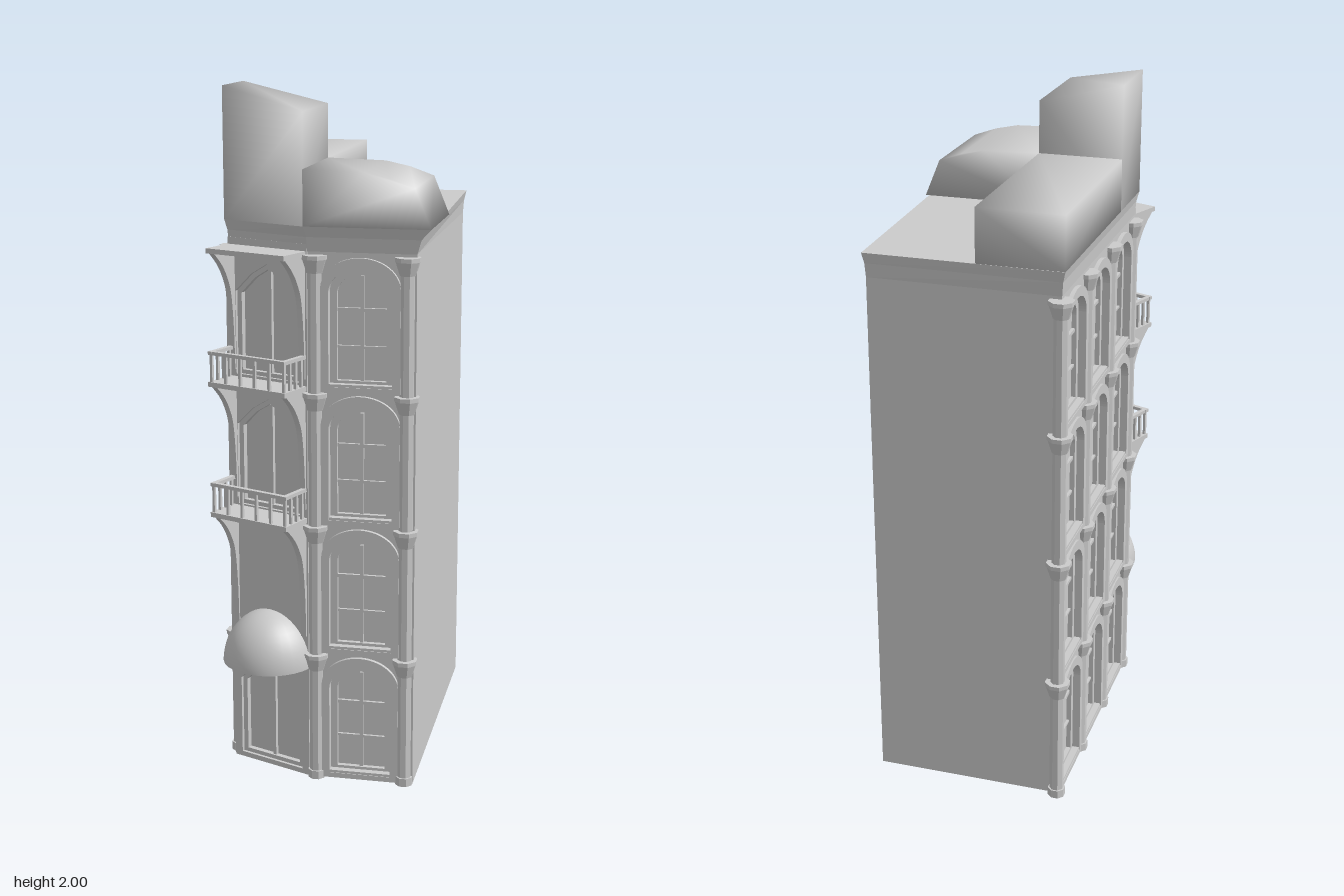
import * as THREE from 'three';
import { mergeVertices } from 'three/addons/utils/BufferGeometryUtils.js';

const flat = new THREE.MeshStandardMaterial({ color: 0xcccccc, flatShading: true, side: THREE.DoubleSide });
const smooth = new THREE.MeshStandardMaterial({ color: 0xcccccc, side: THREE.DoubleSide });
const FLOOR = 0.388, INSET = 0.025;

function add(parent, name, geometry, material = flat) {
  const mesh = new THREE.Mesh(geometry, material);
  mesh.name = name;
  parent.add(mesh);
  return mesh;
}

function box(parent, name, w, h, d, x, y, z) {
  const mesh = add(parent, name, new THREE.BoxGeometry(w, h, d));
  mesh.position.set(x, y, z);
  return mesh;
}

function extrude(shape, depth, z = 0) {
  return new THREE.ExtrudeGeometry(shape, { depth, bevelEnabled: false, curveSegments: 14 }).translate(0, 0, z);
}

// Solid through convex floor plans, one per height
function loft(rings) {
  const pos = [];
  const at = (r, i) => { const [x, z] = r.plan[i % r.plan.length]; pos.push(x, r.y, z); };
  const n = rings[0].plan.length;
  for (let k = 0; k < rings.length - 1; k++) {
    const a = rings[k], b = rings[k + 1];
    for (let i = 0; i < n; i++) {
      at(a, i + 1); at(a, i); at(b, i);
      at(a, i + 1); at(b, i); at(b, i + 1);
    }
  }
  const low = rings[0], top = rings[rings.length - 1];
  for (let i = 1; i < n - 1; i++) {
    at(top, 0); at(top, i + 1); at(top, i);
    at(low, 0); at(low, i); at(low, i + 1);
  }
  const g = new THREE.BufferGeometry();
  g.setAttribute('position', new THREE.Float32BufferAttribute(pos, 3));
  g.computeVertexNormals();
  return g;
}

const polygon = (pts) => new THREE.Shape(pts.map(([x, y]) => new THREE.Vector2(x, y)));

// Round-headed opening
function arch(x, w, y0, spring, rise) {
  const s = new THREE.Shape();
  s.moveTo(x - w / 2, y0);
  s.lineTo(x + w / 2, y0);
  s.lineTo(x + w / 2, spring);
  s.absellipse(x, spring, w / 2, rise, 0, Math.PI, false);
  s.closePath();
  return s;
}

// Opening with a pointed head
const pointed = (w, y0, spring, top) =>
  polygon([[-w / 2, y0], [w / 2, y0], [w / 2, spring], [w / 4, spring + (top - spring) * 0.62],
    [0, top], [-w / 4, spring + (top - spring) * 0.62], [-w / 2, spring]]);

function ring(outer, inner) {
  outer.holes.push(inner);
  return outer;
}

// Octagonal half-sunk pilaster with a flared capital on every floor
function pilaster(parent, x) {
  const g = new THREE.Group();
  g.name = 'pilaster';
  g.position.x = x;
  parent.add(g);
  const oct = (name, r1, r0, y0, y1) => add(g, name,
    new THREE.CylinderGeometry(r1, r0, y1 - y0, 8).rotateY(Math.PI / 8).translate(0, (y0 + y1) / 2, 0));
  oct('pilasterShaft', 0.021, 0.021, 0, 1.55);
  oct('pilasterBase', 0.026, 0.026, 0, 0.025);
  for (let f = 1; f <= 4; f++) {
    oct('capital', 0.035, 0.023, f * FLOOR - 0.05, f * FLOOR - 0.012);
    oct('capitalTop', 0.037, 0.037, f * FLOOR - 0.012, f * FLOOR);
  }
}

// Wall with arched windows; local z points outward
function windowFacade(x0, x1, bays, pilasters) {
  const g = new THREE.Group();
  const wall = polygon([[x0, 0], [x1, 0], [x1, 1.58], [x0, 1.58]]);
  for (const x of bays) for (let f = 0; f < 4; f++) {
    const y = f * FLOOR;
    wall.holes.push(arch(x, 0.18, y + 0.02, y + 0.285, 0.07));
    add(g, 'archMoulding', extrude(ring(arch(x, 0.225, y + 0.005, y + 0.295, 0.088),
      arch(x, 0.18, y + 0.02, y + 0.285, 0.07)), 0.012));
    add(g, 'windowFrame', extrude(ring(arch(x, 0.18, y + 0.02, y + 0.285, 0.07),
      arch(x, 0.14, y + 0.035, y + 0.28, 0.055)), 0.014, -INSET));
    box(g, 'mullion', 0.01, 0.3, 0.01, x, y + 0.18, -INSET + 0.004);
    box(g, 'transom', 0.14, 0.01, 0.01, x, y + 0.235, -INSET + 0.004);
    box(g, 'glazingBar', 0.14, 0.007, 0.008, x, y + 0.13, -INSET + 0.004);
    box(g, 'windowSill', 0.19, 0.015, 0.02, x, y + 0.02, 0);
  }
  add(g, 'facadeWall', extrude(wall, INSET, -INSET));
  for (const x of pilasters) pilaster(g, x);
  return g;
}

// Slab carried by two concave fins, with or without a railing
function balcony(parent, y, railing) {
  const g = new THREE.Group();
  g.name = railing ? 'balcony' : 'topCanopy';
  g.position.y = y;
  parent.add(g);
  const W = 0.265, D = 0.105;
  box(g, 'slab', W, 0.014, D, 0, -0.007, D / 2);
  const fin = new THREE.Shape();
  fin.moveTo(0, -0.012);
  fin.lineTo(D - 0.008, -0.012);
  fin.splineThru([[0.06, -0.05], [0.035, -0.09], [0.018, -0.14], [0.008, -0.24], [0.004, -0.36]]
    .map(([a, b]) => new THREE.Vector2(a, b)));
  fin.lineTo(0, -0.36);
  for (const s of [-1, 1])
    add(g, 'bracket', extrude(fin, 0.018, -0.009).rotateY(-Math.PI / 2).translate(s * (W / 2 - 0.012), 0, 0));
  if (!railing) return;
  const X = W / 2 - 0.008, Z = D - 0.008;
  const post = (x, z) => box(g, 'baluster', 0.008, 0.08, 0.008, x, 0.04, z);
  for (let i = 0; i <= 5; i++) post(-X + (2 * X * i) / 5, Z);
  box(g, 'frontRail', W, 0.01, 0.014, 0, 0.083, Z);
  for (const s of [-1, 1]) {
    for (const z of [0.015, 0.042, 0.069]) post(s * X, z);
    box(g, 'sideRail', 0.014, 0.01, D, s * X, 0.083, D / 2);
  }
}

// Cut-off corner with doors, balconies and entrance dome
function cornerFacade() {
  const g = new THREE.Group();
  const W = 0.27;
  const wall = polygon([[-W / 2, 0], [W / 2, 0], [W / 2, 1.58], [-W / 2, 1.58]]);
  for (const y of [0.015, 0.8, 1.188]) {
    wall.holes.push(pointed(0.22, y, y + 0.24, y + 0.325));
    add(g, 'doorFrame', extrude(ring(pointed(0.22, y, y + 0.24, y + 0.325),
      pointed(0.19, y + 0.012, y + 0.235, y + 0.31)), 0.016, -INSET));
    box(g, 'doorDivider', 0.01, 0.305, 0.012, 0, y + 0.155, -INSET + 0.005);
  }
  add(g, 'cornerWall', extrude(wall, INSET, -INSET));
  balcony(g, 0.795, true);
  balcony(g, 1.18, true);
  balcony(g, 1.56, false);
  const dome = add(g, 'entranceDome',
    new THREE.SphereGeometry(0.14, 28, 12, 0, Math.PI * 2, 0, Math.PI / 2), smooth);
  dome.scale.y = 1.09;
  dome.position.y = 0.34;
  const base = add(g, 'domeUnderside', new THREE.CircleGeometry(0.14, 28).rotateX(Math.PI / 2));
  base.position.y = 0.34;
  return g;
}

// Roof block with soft normals; the outer left corner follows the cut-off corner
function roofBlock(parent, name, pts, z0, z1) {
  let geo = extrude(polygon(pts), z1 - z0, z0);
  const p = geo.attributes.position;
  for (let i = 0; i < p.count; i++) if (p.getZ(i) > 0.2 && p.getX(i) < -0.2) p.setZ(i, 0.33);
  geo.deleteAttribute('normal');
  geo.deleteAttribute('uv');
  geo = mergeVertices(geo);
  geo.computeVertexNormals();
  add(parent, name, geo, smooth);
}

export function createModel() {
  const model = new THREE.Group();
  model.name = 'cornerBuilding';

  // Body and cornice
  const core = [[-0.255, -0.49], [0.275, -0.49], [0.275, 0.395], [-0.035, 0.395], [-0.255, 0.307]];
  const plan = [[-0.28, -0.49], [0.275, -0.49], [0.275, 0.42], [-0.03, 0.42], [-0.28, 0.32]];
  const eave = [[-0.29, -0.497], [0.285, -0.495], [0.315, 0.435], [-0.04, 0.435], [-0.29, 0.33]];
  add(model, 'body', loft([{ plan: core, y: 0 }, { plan: core, y: 1.58 }]));
  const mid = plan.map(([x, z], i) => [x + (eave[i][0] - x) * 0.3, z + (eave[i][1] - z) * 0.3]);
  add(model, 'cornice', loft([{ plan, y: 1.56 }, { plan: mid, y: 1.6 }, { plan: eave, y: 1.63 }]));

  // Facades
  const front = windowFacade(-0.03, 0.275, [0.12], [-0.01, 0.25]);
  front.name = 'frontFacade';
  front.position.z = 0.42;
  const side = windowFacade(-0.49, 0.32, [-0.37, -0.11, 0.15], [-0.495, -0.24, 0.02, 0.28]);
  side.name = 'sideFacade';
  side.rotation.y = -Math.PI / 2;
  side.position.x = -0.28;
  const corner = cornerFacade();
  corner.name = 'cornerFacade';
  corner.rotation.y = -Math.atan2(0.1, 0.25);
  corner.position.set(-0.158, 0, 0.372);
  model.add(front, side, corner);

  // Roofs
  roofBlock(model, 'cornerTower', [[-0.29, 1.63], [-0.04, 1.63], [-0.04, 1.94], [-0.29, 2]], 0.1, 0.435);
  roofBlock(model, 'frontRoof', [[-0.04, 1.63], [0.315, 1.63], [0.27, 1.74], [0.2, 1.765],
    [0.13, 1.78], [-0.04, 1.785]], 0.1, 0.435);
  roofBlock(model, 'rearRoof', [[-0.29, 1.63], [-0.04, 1.63], [-0.04, 1.785], [-0.29, 1.785]], -0.495, 0.1);
  return model;
}
